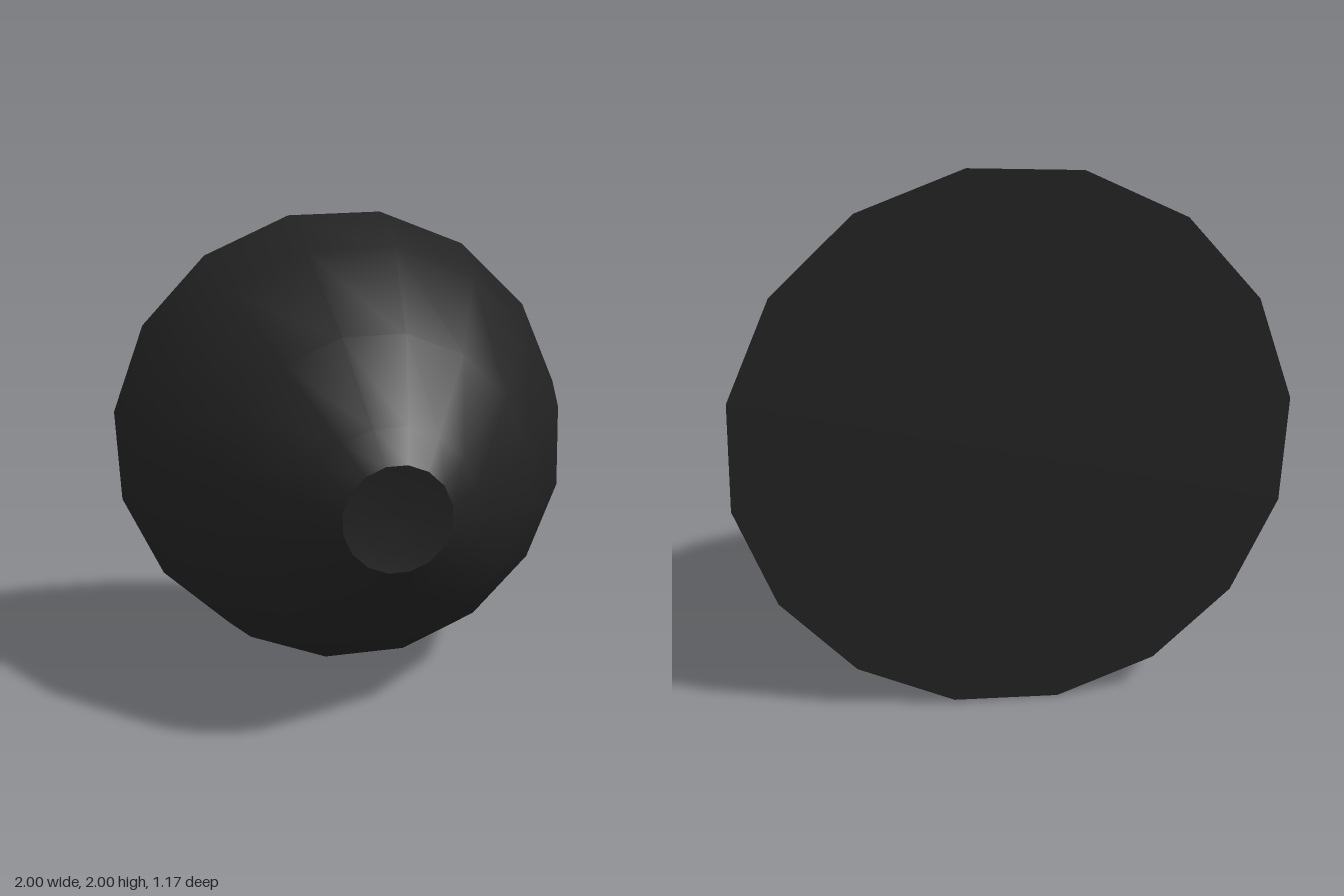
import * as THREE from 'three';

const SIDES = 16;
const TWIST = THREE.MathUtils.degToRad(13);

// Turns a [radius, z] profile, listed back to front, around the z axis
function turned(name, profile, material) {
  const points = profile.map(([r, z]) => new THREE.Vector2(r, z));
  const geometry = new THREE.LatheGeometry(points, SIDES, TWIST);
  geometry.rotateX(Math.PI / 2);
  const mesh = new THREE.Mesh(geometry, material);
  mesh.name = name;
  return mesh;
}

export function createModel() {
  const charcoal = new THREE.MeshStandardMaterial({ color: 0x222222 });
  charcoal.name = 'charcoal';

  const model = new THREE.Group();
  model.name = 'dome';

  const body = new THREE.Group();
  body.name = 'body';
  body.position.y = 1;
  body.rotation.x = 0.0075; // slight backward lean
  model.add(body);

  // Smooth shell narrowing toward the front
  body.add(turned('shell', [
    [1.013, -0.578], [0.892, -0.183], [0.612, 0.235], [0.32, 0.493], [0.203, 0.587],
  ], charcoal));

  // Flat closing face at the back
  body.add(turned('backFace', [[0, -0.578], [1.013, -0.578]], charcoal));

  // Shallow dished tip at the front
  body.add(turned('frontDish', [[0.203, 0.587], [0.12, 0.573], [0, 0.568]], charcoal));

  return model;
}
